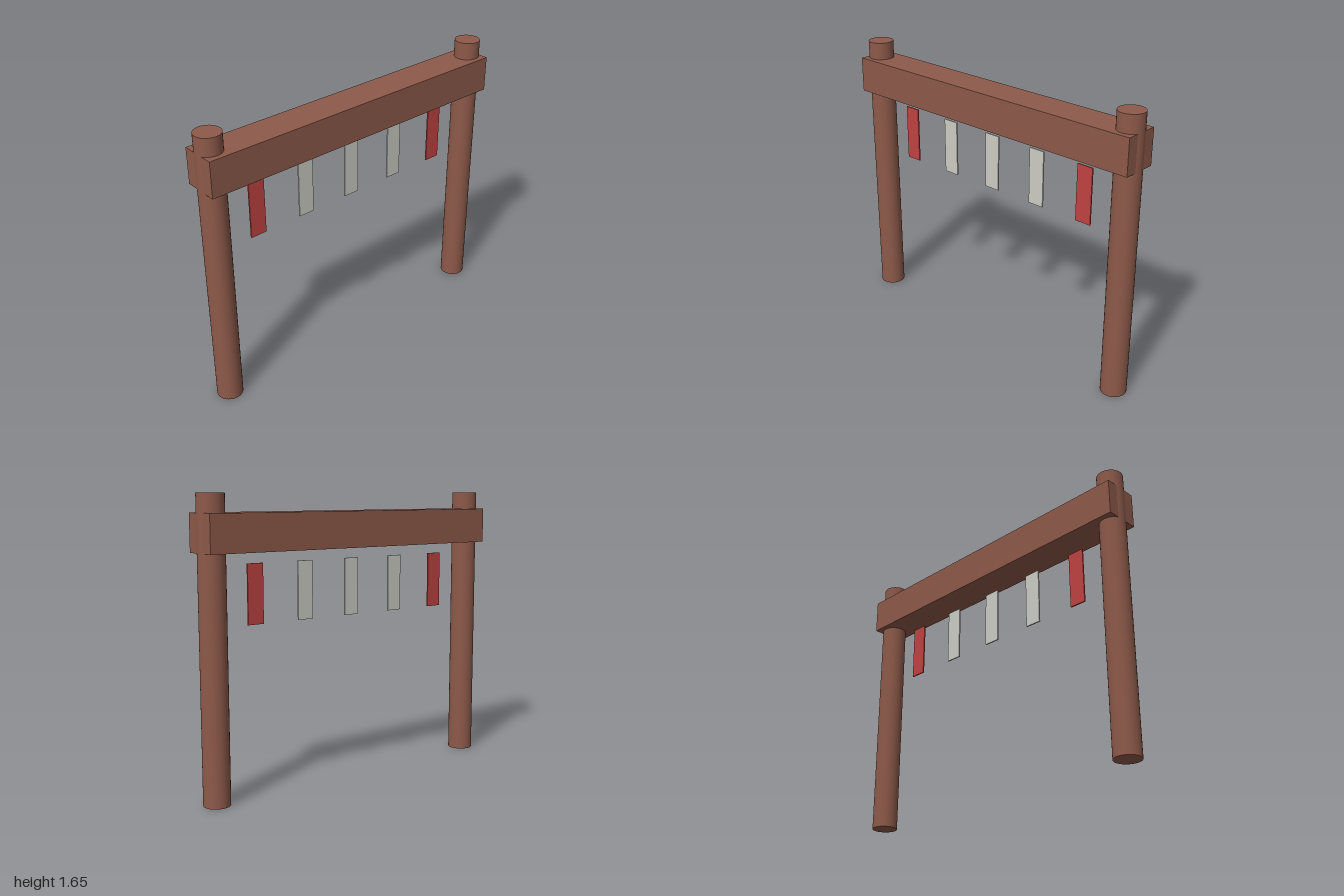
import * as THREE from 'three';

export function createModel() {
  const model = new THREE.Group();
  const wood = new THREE.MeshStandardMaterial({ color: 0x8d5a4a });
  const red = new THREE.MeshStandardMaterial({ color: 0xc04242 });
  const pale = new THREE.MeshStandardMaterial({ color: 0xcdcdc5 });

  const add = (name, geometry, material, x, y) => {
    const mesh = new THREE.Mesh(geometry, material);
    mesh.name = name;
    mesh.position.set(x, y, 0);
    model.add(mesh);
  };

  // Round posts, rising through the beam
  const postHeight = 1.653, postRadius = 0.0744;
  const post = new THREE.CylinderGeometry(postRadius, postRadius, postHeight, 32);
  add('leftPost', post, wood, 1 - postRadius, postHeight / 2);
  add('rightPost', post, wood, postRadius - 1, postHeight / 2);

  // Crossbeam
  add('crossbeam', new THREE.BoxGeometry(1.984, 0.2066, 0.2066), wood, 0, 1.448);

  // Row of thin hanging strips, red at both ends
  const strip = new THREE.BoxGeometry(0.099, 0.33, 0.0083);
  for (let i = -2; i <= 2; i++) {
    add(`hangingStrip${i + 3}`, strip, Math.abs(i) === 2 ? red : pale, i * 0.3306, 1.117);
  }
  return model;
}
